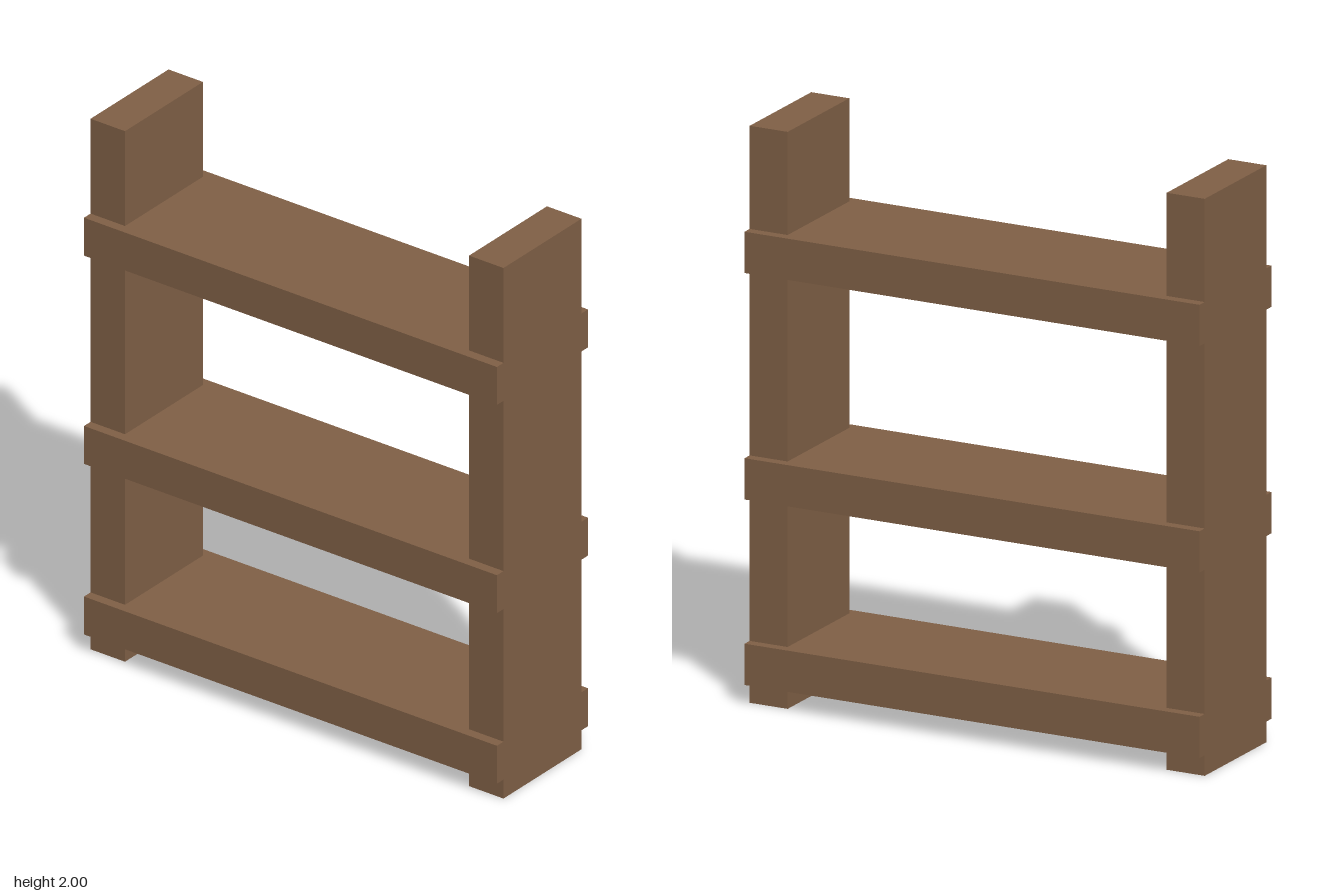
import * as THREE from 'three';

export function createModel() {
  const model = new THREE.Group();
  model.name = 'shelfUnit';

  const wood = new THREE.MeshStandardMaterial({ color: 0x806046 });
  wood.name = 'brown wood';

  const addBoard = (name, width, height, depth, x, y) => {
    const board = new THREE.Mesh(new THREE.BoxGeometry(width, height, depth), wood);
    board.name = name;
    board.position.set(x, y, 0);
    model.add(board);
  };

  const halfWidth = 0.857;
  const thickness = 0.143;

  // Upright side panels
  for (const [name, side] of [['leftPanel', 1], ['rightPanel', -1]]) {
    addBoard(name, thickness, 2, 0.428, side * (halfWidth - thickness / 2), 1);
  }

  // Shelves, flush with the panels at the ends and proud at front and back
  const shelves = [['bottomShelf', 0.143], ['middleShelf', 0.786], ['topShelf', 1.571]];
  for (const [name, y] of shelves) {
    addBoard(name, halfWidth * 2, thickness, 0.5, 0, y);
  }

  return model;
}
